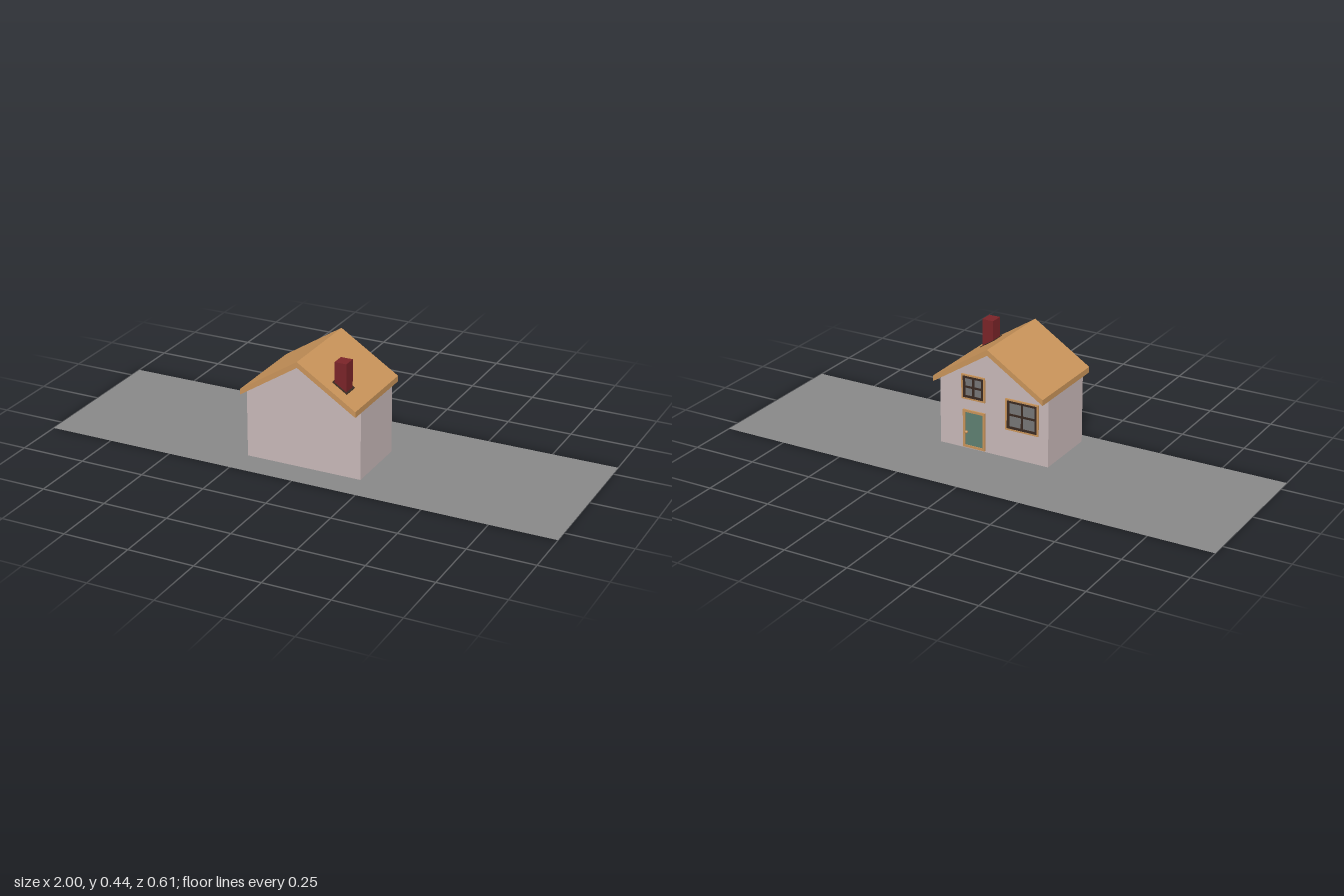
import * as THREE from 'three';

const paint = (color, side = THREE.FrontSide) =>
  new THREE.MeshStandardMaterial({ color, side });

const wallMat = paint(0xc8b8b8);
const woodMat = paint(0xc9945a);
const brickMat = paint(0x7a2428);
const darkMat = paint(0x3a2a22);
const glassMat = paint(0x777777);
const doorMat = paint(0x5f8072);

const WALL_BACK = -0.036; // z of the wall carrying door and windows
const CX = 0.005;         // x of the ridge
const HALF = 0.225;       // half width of the house

function add(parent, name, geometry, material) {
  const mesh = new THREE.Mesh(geometry, material);
  mesh.name = name;
  parent.add(mesh);
  return mesh;
}

function box(parent, name, material, x0, x1, y0, y1, z0, z1) {
  const mesh = add(parent, name, new THREE.BoxGeometry(x1 - x0, y1 - y0, z1 - z0), material);
  mesh.position.set((x0 + x1) / 2, (y0 + y1) / 2, (z0 + z1) / 2);
  return mesh;
}

// Extrudes an x-y outline between two z values
function prism(points, z0, z1) {
  const shape = new THREE.Shape(points.map(([x, y]) => new THREE.Vector2(x, y)));
  return new THREE.ExtrudeGeometry(shape, { depth: z1 - z0, bevelEnabled: false }).translate(0, 0, z0);
}

// Rectangular frame standing out from the back wall
function frame(parent, name, material, x0, x1, y0, y1, t, depth) {
  const shape = new THREE.Shape([[x0, y0], [x1, y0], [x1, y1], [x0, y1]].map(p => new THREE.Vector2(...p)));
  shape.holes.push(new THREE.Path([[x0 + t, y0 + t], [x0 + t, y1 - t], [x1 - t, y1 - t], [x1 - t, y0 + t]]
    .map(p => new THREE.Vector2(...p))));
  const geometry = new THREE.ExtrudeGeometry(shape, { depth, bevelEnabled: false });
  add(parent, name, geometry.translate(0, 0, WALL_BACK - depth), material);
}

// Window with outer frame, sash, crossing bars and glass
function makeWindow(name, x0, x1, y0, y1, depth) {
  const group = new THREE.Group();
  group.name = name;
  const t = 0.006, s = 0.009, bar = 0.004;
  const cx = (x0 + x1) / 2, cy = (y0 + y1) / 2, zBar = WALL_BACK - depth * 0.7;
  frame(group, 'windowFrame', woodMat, x0, x1, y0, y1, t, depth);
  frame(group, 'windowSash', darkMat, x0 + t, x1 - t, y0 + t, y1 - t, s, depth * 0.8);
  box(group, 'verticalBar', darkMat, cx - bar, cx + bar, y0 + t, y1 - t, zBar, WALL_BACK);
  box(group, 'horizontalBar', darkMat, x0 + t, x1 - t, cy - bar, cy + bar, zBar, WALL_BACK);
  box(group, 'glass', glassMat, x0 + t, x1 - t, y0 + t, y1 - t, WALL_BACK - depth * 0.3, WALL_BACK);
  return group;
}

function makeDoor() {
  const group = new THREE.Group();
  group.name = 'door';
  const x0 = 0.04, x1 = 0.132, y0 = 0.022, y1 = 0.171;
  frame(group, 'doorFrame', woodMat, x0, x1, y0, y1, 0.009, 0.006);
  box(group, 'doorPanel', doorMat, x0 + 0.009, x1 - 0.009, y0 + 0.009, y1 - 0.009, WALL_BACK - 0.003, WALL_BACK);
  // Knob on a short stem
  const stem = add(group, 'knobStem', new THREE.CylinderGeometry(0.003, 0.003, 0.008, 8), woodMat);
  stem.rotation.x = Math.PI / 2;
  stem.position.set(0.115, 0.085, WALL_BACK - 0.006);
  const knob = add(group, 'doorKnob', new THREE.SphereGeometry(0.006, 10, 8), woodMat);
  knob.position.set(0.115, 0.085, WALL_BACK - 0.01);
  return group;
}

// Chimney rising from a collar that follows the roof slope
function makeChimney() {
  const group = new THREE.Group();
  group.name = 'chimney';
  box(group, 'chimneyStack', brickMat, 0.124, 0.17, 0.32, 0.445, 0.165, 0.216);
  const roofY = x => 0.443 - (x - CX) * (0.145 / HALF);
  const a = 0.119, b = 0.175;
  add(group, 'chimneyCollar', prism([[a, roofY(a) - 0.006], [b, roofY(b) - 0.006],
    [b, roofY(b) + 0.003], [a, roofY(a) + 0.003]], 0.158, 0.223), darkMat);
  return group;
}

export function createModel() {
  const model = new THREE.Group();
  model.name = 'house';

  // Flat ground sheet
  const ground = add(model, 'ground', new THREE.PlaneGeometry(2, 0.614), paint(0x888888, THREE.DoubleSide));
  ground.rotation.x = -Math.PI / 2;

  // Gabled walls
  const L = CX - HALF, R = CX + HALF;
  add(model, 'walls', prism([[L, 0.017], [R, 0.017], [R, 0.278], [CX, 0.423], [L, 0.278]],
    WALL_BACK, 0.223), wallMat);

  // Roof shell overhanging both gables
  add(model, 'roof', prism([[L - 0.001, 0.276], [CX, 0.421], [R + 0.001, 0.276],
    [R + 0.001, 0.298], [CX, 0.443], [L - 0.001, 0.298]], -0.083, 0.27), woodMat);

  model.add(makeChimney(), makeDoor());
  model.add(makeWindow('upperWindow', 0.04, 0.138, 0.213, 0.31, 0.005));
  model.add(makeWindow('lowerWindow', -0.181, -0.046, 0.13, 0.252, 0.006));
  return model;
}
